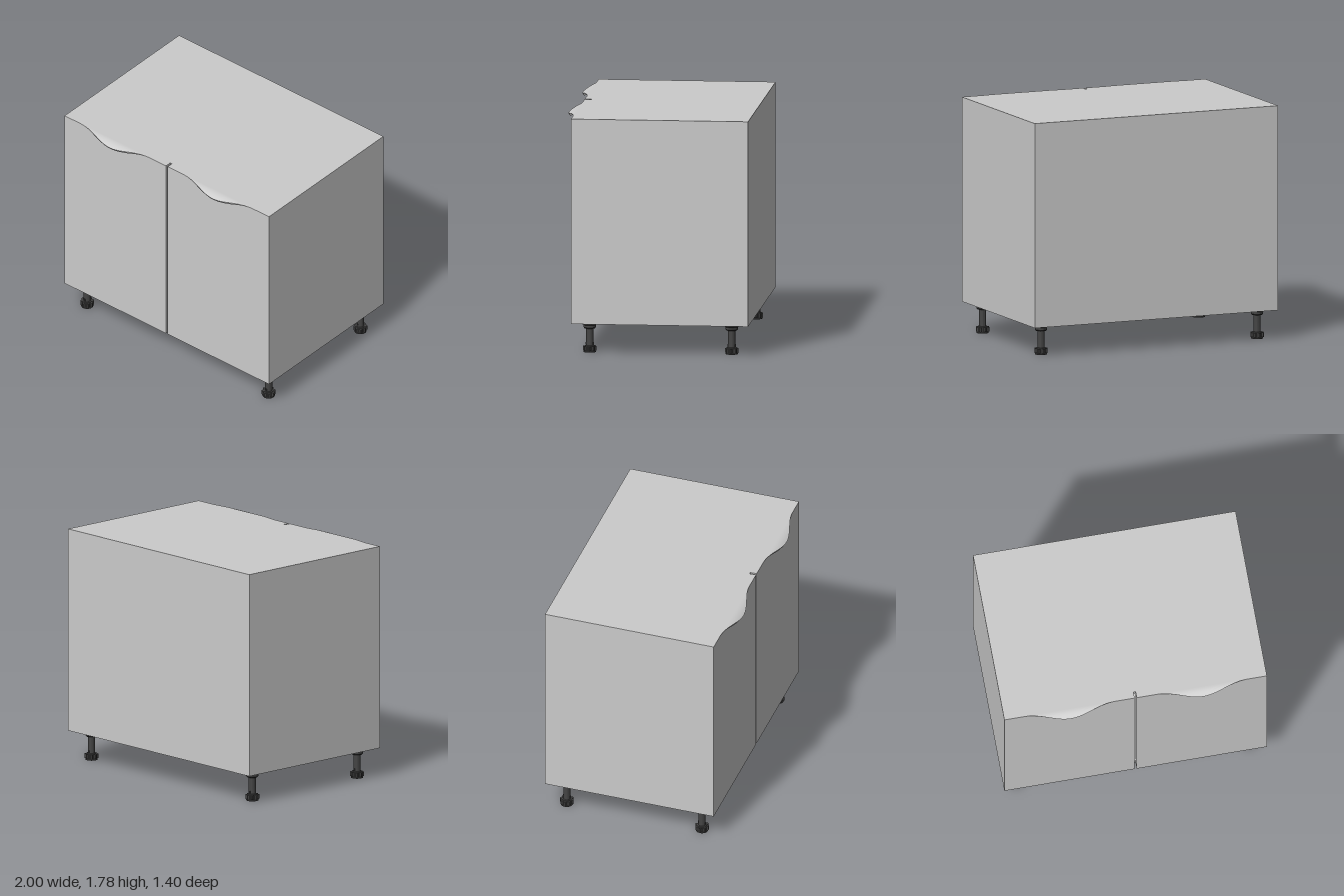
import * as THREE from 'three';
import { toCreasedNormals } from 'three/addons/utils/BufferGeometryUtils.js';

const BOTTOM = 0.225, TOP = 1.78, BACK = -0.705, DOOR_BACK = 0.58, FRONT = 0.63;
const BOARD = 0.035, GAP = 0.008;
const grey = new THREE.MeshStandardMaterial({ color: 0xcccccc });
const dark = new THREE.MeshStandardMaterial({ color: 0x444444 });

function add(parent, name, geometry, material = grey) {
  const mesh = new THREE.Mesh(geometry, material);
  mesh.name = name;
  parent.add(mesh);
  return mesh;
}

// Box given by its lower and upper corners
function panel(parent, name, a, b) {
  const mesh = add(parent, name, new THREE.BoxGeometry(b[0] - a[0], b[1] - a[1], b[2] - a[2]));
  mesh.position.set((a[0] + b[0]) / 2, (a[1] + b[1]) / 2, (a[2] + b[2]) / 2);
}

// Curved finger pull: a drooping lip whose reach swells and fades along x
function pullGeometry() {
  const nx = 48, nu = 8, half = 0.35, ring = 2 * (nu + 1);
  const pos = [], idx = [];
  for (let i = 0; i <= nx; i++) {
    const s = (i / nx) * 2 - 1;
    const reach = Math.cos((s * Math.PI) / 2) ** 2;
    for (let k = 0; k < ring; k++) {
      const under = k > nu;
      const u = (under ? ring - 1 - k : k) / nu;
      const d = 0.07 * reach * u;
      const slope = 10 * d, len = Math.hypot(1, slope);
      const t = under ? (0.008 + 0.012 * u) * Math.min(1, reach * 1.5) : 0;
      pos.push(s * half, TOP - 5 * d * d - t / len, Math.max(FRONT, FRONT + d - (t * slope) / len));
    }
  }
  for (let i = 0; i < nx; i++) {
    for (let k = 0; k < ring; k++) {
      const a = i * ring + k, b = i * ring + ((k + 1) % ring);
      idx.push(a, b, a + ring, b, b + ring, a + ring);
    }
  }
  const geometry = new THREE.BufferGeometry();
  geometry.setAttribute('position', new THREE.Float32BufferAttribute(pos, 3));
  geometry.setIndex(idx);
  return toCreasedNormals(geometry, 0.6);
}

// Turned leg: floor pad, stem, collar and mounting flange
function legGeometry() {
  const profile = [
    [0, 0], [0.046, 0], [0.046, 0.006], [0.036, 0.008], [0.036, 0.05], [0.027, 0.052],
    [0.027, 0.178], [0.04, 0.18], [0.046, 0.188], [0.046, 0.205], [0.062, 0.214],
    [0.064, BOTTOM], [0, BOTTOM],
  ].map(([r, y]) => new THREE.Vector2(r, y));
  return toCreasedNormals(new THREE.LatheGeometry(profile, 28), 0.5);
}

// Lobed adjusting wheel around the foot
function wheelGeometry() {
  const shape = new THREE.Shape();
  const lobes = 8, steps = 64;
  for (let i = 0; i < steps; i++) {
    const a = (i / steps) * Math.PI * 2;
    const r = 0.047 + 0.005 * Math.tanh(3 * Math.cos(lobes * a));
    shape[i ? 'lineTo' : 'moveTo'](r * Math.cos(a), r * Math.sin(a));
  }
  shape.closePath();
  const geometry = new THREE.ExtrudeGeometry(shape, { depth: 0.034, bevelEnabled: false });
  geometry.rotateX(-Math.PI / 2);
  geometry.translate(0, 0.011, 0);
  return toCreasedNormals(geometry, 0.5);
}

export function createModel() {
  const model = new THREE.Group();
  model.name = 'baseCabinet';

  // Carcass
  const carcass = new THREE.Group();
  carcass.name = 'carcass';
  model.add(carcass);
  panel(carcass, 'topPanel', [-1, TOP - BOARD, BACK], [1, TOP, DOOR_BACK]);
  panel(carcass, 'bottomPanel', [-1, BOTTOM, BACK], [1, BOTTOM + BOARD, DOOR_BACK]);
  panel(carcass, 'backPanel', [-1 + BOARD, BOTTOM + BOARD, BACK], [1 - BOARD, TOP - BOARD, BACK + 0.02]);
  panel(carcass, 'rightSide', [-1, BOTTOM + BOARD, BACK], [-1 + BOARD, TOP - BOARD, DOOR_BACK]);
  panel(carcass, 'leftSide', [1 - BOARD, BOTTOM + BOARD, BACK], [1, TOP - BOARD, DOOR_BACK]);

  // Doors with their finger pulls
  panel(model, 'rightDoor', [-1, BOTTOM, DOOR_BACK], [-GAP, TOP, FRONT]);
  panel(model, 'leftDoor', [GAP, BOTTOM, DOOR_BACK], [1, TOP, FRONT]);
  const pull = pullGeometry();
  add(model, 'rightPull', pull).position.x = -0.504;
  add(model, 'leftPull', pull).position.x = 0.504;

  // Four adjustable legs
  const legGeo = legGeometry(), wheelGeo = wheelGeometry();
  for (const x of [-0.888, 0.888]) {
    for (const z of [-0.57, 0.5]) {
      const leg = new THREE.Group();
      leg.name = (z > 0 ? 'front' : 'back') + (x > 0 ? 'Left' : 'Right') + 'Leg';
      leg.position.set(x, 0, z);
      add(leg, 'legStem', legGeo, dark);
      add(leg, 'adjustingWheel', wheelGeo, dark);
      // Small stop lug on the stem
      const lug = add(leg, 'stemLug', new THREE.BoxGeometry(0.012, 0.02, 0.062), dark);
      lug.position.y = 0.064;
      model.add(leg);
    }
  }
  return model;
}
